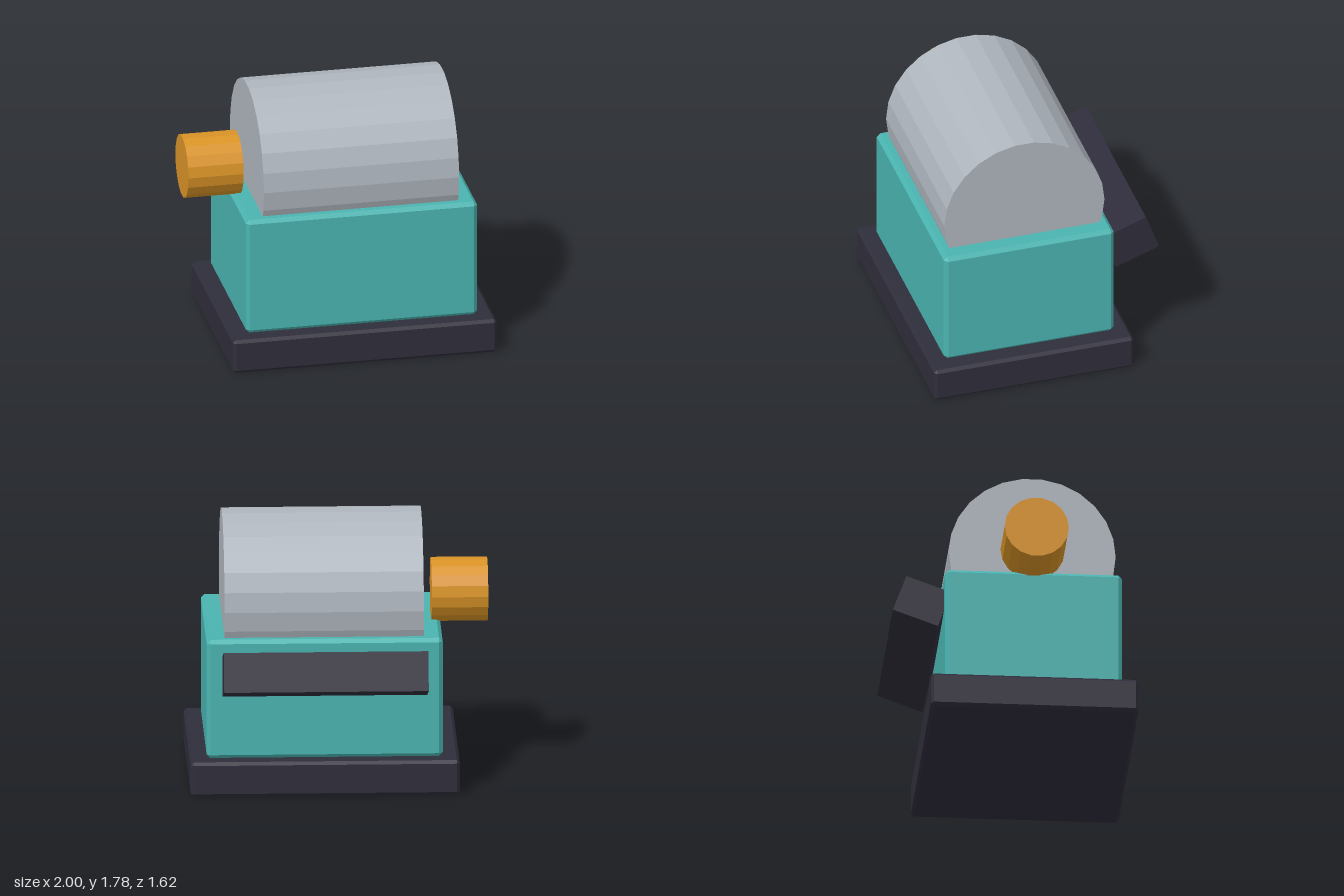
import * as THREE from 'three';
import { ConvexGeometry } from 'three/addons/geometries/ConvexGeometry.js';

const flat = (name, color) => {
  const m = new THREE.MeshStandardMaterial({ color, flatShading: true });
  m.name = name;
  return m;
};

// Box with every edge cut by a small chamfer
function chamferBox(w, h, d, c) {
  const half = [w / 2, h / 2, d / 2];
  const points = [];
  for (const sx of [-1, 1]) for (const sy of [-1, 1]) for (const sz of [-1, 1]) {
    for (let full = 0; full < 3; full++) {
      const [x, y, z] = half.map((v, i) => (i === full ? v : v - c));
      points.push(new THREE.Vector3(sx * x, sy * y, sz * z));
    }
  }
  return new ConvexGeometry(points);
}

// Faceted cylinder lying along x
const lyingCylinder = (r, length, sides) =>
  new THREE.CylinderGeometry(r, r, length, sides).rotateZ(Math.PI / 2);

export function createModel() {
  const group = new THREE.Group();
  group.name = 'machine';

  const charcoal = flat('charcoal', 0x2f2d3b);
  const teal = flat('teal', 0x4ab4b0);
  const steel = flat('steel', 0xafb6be);
  const amber = flat('amber', 0xd99326);

  const add = (name, geometry, material, x, y, z) => {
    const mesh = new THREE.Mesh(geometry, material);
    mesh.name = name;
    mesh.position.set(x, y, z);
    group.add(mesh);
    return mesh;
  };

  // Plinth and housing
  add('base', chamferBox(1.79, 0.235, 1.385, 0.02), charcoal, 0.1, 0.1175, 0.12);
  add('housing', chamferBox(1.57, 0.815, 1.18, 0.025), teal, 0.1, 0.6425, 0.12);

  // Drum half sunk in the housing, with the knob beside it
  add('drum', lyingCylinder(0.556, 1.325, 26), steel, 0.1025, 1.23, 0.12);
  add('knob', lyingCylinder(0.214, 0.375, 18), amber, -0.8125, 1.23, 0.117);

  // Tilted bar on the back
  const bar = add('rearBar', new THREE.BoxGeometry(1.36, 0.266, 0.32), charcoal, 0.1, 0.855, -0.615);
  bar.rotation.x = THREE.MathUtils.degToRad(20);

  return group;
}
